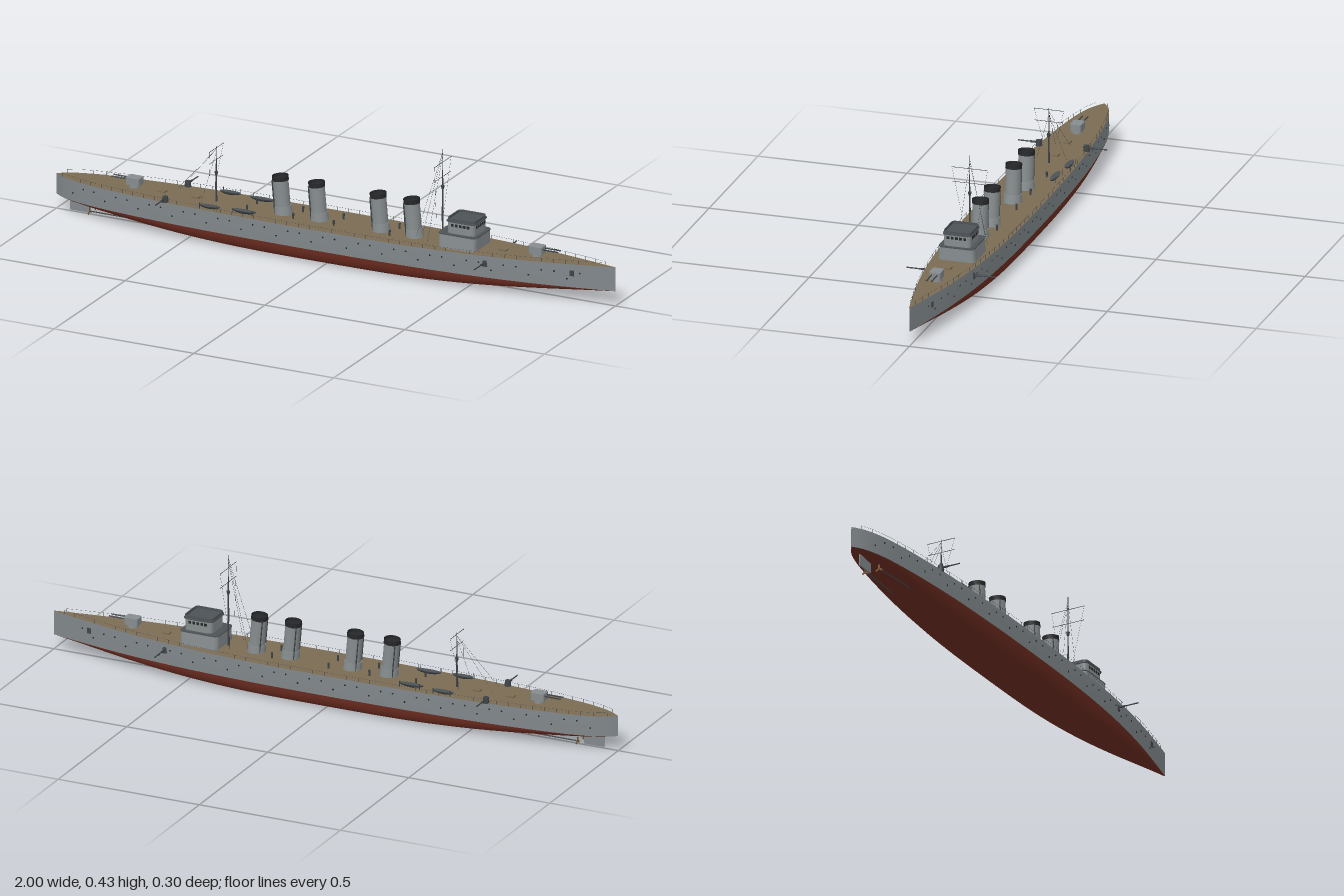
import * as THREE from 'three';
import { mergeGeometries } from 'three/addons/utils/BufferGeometryUtils.js';

const mat = (name, color, side = THREE.FrontSide) => {
  const m = new THREE.MeshStandardMaterial({ color, side });
  m.name = name;
  return m;
};
const V = (x, y, z) => new THREE.Vector3(x, y, z);

export function createModel() {
  const ship = new THREE.Group();
  ship.name = 'warship';
  const hullGray = mat('hullGray', 0x81888b);
  const red = mat('bottomRed', 0x6e2d21);
  const tan = mat('deckTan', 0x7b6c53);
  const gray = mat('superstructureGray', 0x868c8e);
  const roof = mat('roofGray', 0x4d5357);
  const black = mat('sootBlack', 0x262729, THREE.DoubleSide);
  const dark = mat('fittingsGray', 0x3f4447, THREE.DoubleSide);
  const bronze = mat('propellerBronze', 0x7a5a32);

  const add = (name, geo, material, x = 0, y = 0, z = 0, parent = ship) => {
    const m = new THREE.Mesh(geo, material);
    m.name = name;
    m.position.set(x, y, z);
    parent.add(m);
    return m;
  };
  const rod = (a, b, r) => new THREE.TubeGeometry(new THREE.LineCurve3(a, b), 1, r, 5, false);
  const merged = (name, geos, material, parent = ship) =>
    add(name, mergeGeometries(geos), material, 0, 0, 0, parent);

  // Hull lines: half-breadth, deck height and keel height along the length
  const plan = new THREE.SplineCurve([[-1, 0], [-0.97, 0.02], [-0.93, 0.037], [-0.85, 0.056], [-0.7, 0.075],
    [-0.5, 0.09], [-0.25, 0.098], [0, 0.1], [0.25, 0.097], [0.45, 0.087], [0.6, 0.073], [0.75, 0.052],
    [0.88, 0.027], [1, 0.001]].map(p => new THREE.Vector2(...p)));
  const stations = plan.getPoints(65);
  const beam = x => {
    const i = Math.max(1, stations.findIndex(p => p.x >= x));
    const a = stations[i - 1], b = stations[i];
    return a.y + (b.y - a.y) * (x - a.x) / (b.x - a.x);
  };
  const WL = 0.05;
  const deckY = x => 0.119 + 0.012 * Math.max(0, (x - 0.2) / 0.8) ** 1.5;
  const keelY = x => WL * Math.max(0, (Math.abs(x) - 0.2) / 0.8) ** 2;

  // Skin a row of cross-sections running from stern to bow
  const loft = section => {
    const rows = stations.map(p => section(p.x, p.y));
    const n = rows[0].length, idx = [];
    for (let i = 0; i < rows.length - 1; i++)
      for (let j = 0; j < n - 1; j++) {
        const a = i * n + j, b = a + n;
        idx.push(a, a + 1, b, b, a + 1, b + 1);
      }
    const g = new THREE.BufferGeometry().setFromPoints(rows.flat());
    g.setIndex(idx);
    g.computeVertexNormals();
    return g;
  };
  add('hullSideLeft', loft((x, b) => [V(x, deckY(x), b), V(x, 0.085, b), V(x, WL, b * 0.985)]), hullGray);
  add('hullSideRight', loft((x, b) => [V(x, WL, -b * 0.985), V(x, 0.085, -b), V(x, deckY(x), -b)]), hullGray);
  add('deck', loft((x, b) => [V(x, deckY(x), -b), V(x, deckY(x), 0), V(x, deckY(x), b)]), tan);
  const bilge = [[0.985, 1], [0.97, 0.75], [0.92, 0.4], [0.81, 0.15], [0.6, 0.04], [0, 0]];
  add('underwaterHull', loft((x, b) => {
    const v = Math.abs(x) ** 3, k = keelY(x);
    const half = bilge.map(([w, h]) => V(x, k + (WL - k) * (h + (w / 0.985 - h) * v * 0.8), b * w));
    return [...half, ...half.slice(0, -1).reverse().map(p => V(p.x, p.y, -p.z))];
  }), red);

  // Portholes, railings and bow anchors on both sides
  const ports = [], rails = [];
  for (const s of [1, -1]) {
    for (let i = 0; i < 44; i++) {
      const x = -0.92 + i * 0.042, y = i % 3 ? 0.1 : 0.078;
      const c = new THREE.CylinderGeometry(0.0028, 0.0028, 0.003, 8).rotateX(Math.PI / 2);
      ports.push(c.translate(x, y, s * beam(x)));
    }
    let last = null;
    for (let i = 0; i < 49; i++) {
      const x = -0.97 + i * 0.0402, z = s * Math.max(0, beam(x) - 0.002), y = deckY(x);
      rails.push(rod(V(x, y, z), V(x, y + 0.012, z), 0.0006));
      const top = V(x, y + 0.012, z);
      if (last) rails.push(rod(last, top, 0.0003));
      last = top;
    }
    add('anchor', new THREE.BoxGeometry(0.014, 0.018, 0.005), dark, 0.86, 0.098, s * beam(0.86));
  }
  merged('portholes', ports, black);
  merged('railings', rails, dark);

  // Bridge: two rounded tiers with dark decks and a parapet
  const roundRect = (w, d, r, C = THREE.Shape) => {
    const s = new C(), x = w / 2, y = d / 2;
    s.moveTo(-x + r, -y).lineTo(x - r, -y).quadraticCurveTo(x, -y, x, -y + r);
    s.lineTo(x, y - r).quadraticCurveTo(x, y, x - r, y);
    s.lineTo(-x + r, y).quadraticCurveTo(-x, y, -x, y - r);
    s.lineTo(-x, -y + r).quadraticCurveTo(-x, -y, -x + r, -y);
    return s;
  };
  const block = (w, d, h, r, wall = 0) => {
    const s = roundRect(w, d, r);
    if (wall) s.holes.push(roundRect(w - wall * 2, d - wall * 2, r - wall, THREE.Path));
    return new THREE.ExtrudeGeometry(s, { depth: h, bevelEnabled: false, curveSegments: 5 }).rotateX(-Math.PI / 2);
  };
  const bridge = new THREE.Group();
  bridge.name = 'bridge';
  bridge.position.x = 0.46;
  ship.add(bridge);
  const lower = block(0.134, 0.126, 0.048, 0.02);
  const lp = lower.attributes.position;
  for (let i = 0; i < lp.count; i++) if (lp.getY(i) > 0.02) lp.setZ(i, lp.getZ(i) * 0.93);
  lower.computeVertexNormals();
  add('lowerTier', lower, gray, 0, 0.118, 0, bridge);
  add('lowerTierDeck', block(0.138, 0.12, 0.003, 0.02), roof, 0, 0.165, 0, bridge);
  add('upperTier', block(0.098, 0.092, 0.04, 0.016), gray, 0.008, 0.167, 0, bridge);
  add('upperTierDeck', block(0.106, 0.098, 0.004, 0.018), roof, 0.008, 0.206, 0, bridge);
  add('parapet', block(0.1, 0.092, 0.009, 0.016, 0.003), roof, 0.008, 0.209, 0, bridge);
  for (let i = -2; i <= 2; i++) {
    add('frontWindow', new THREE.BoxGeometry(0.002, 0.009, 0.009), black, 0.057, 0.196, i * 0.014, bridge);
    for (const s of [1, -1])
      add('sideWindow', new THREE.BoxGeometry(0.009, 0.009, 0.002), black, 0.008 + i * 0.014, 0.196, s * 0.046, bridge);
  }

  // Four raked funnels with black tops
  for (const x of [-0.2, -0.07, 0.15, 0.27]) {
    const f = new THREE.Group();
    f.name = 'funnel';
    f.position.set(x + 0.012, 0.116, 0);
    f.rotation.z = 0.09;
    ship.add(f);
    add('funnelBase', new THREE.CylinderGeometry(0.028, 0.031, 0.03, 20), gray, 0, 0.014, 0, f);
    add('funnelPipe', new THREE.CylinderGeometry(0.0255, 0.0255, 0.1, 20, 1, true), gray, 0, 0.068, 0, f);
    add('funnelTop', new THREE.CylinderGeometry(0.027, 0.027, 0.015, 20, 1, true), black, 0, 0.122, 0, f);
    add('funnelMouth', new THREE.CircleGeometry(0.026, 20).rotateX(-Math.PI / 2), black, 0, 0.12, 0, f);
    for (const s of [1, -1])
      add('steamPipe', new THREE.CylinderGeometry(0.002, 0.002, 0.115, 6), dark, -0.02, 0.06, s * 0.02, f);
  }

  // Masts with yards, lookout and rigging
  const mast = (name, x, top, yards, stayX) => {
    const g = [new THREE.CylinderGeometry(0.001, 0.0035, top - 0.118, 8).translate(x, (top + 0.118) / 2, 0)];
    for (const [y, half] of yards) g.push(rod(V(x, y, -half), V(x, y, half), 0.0009));
    merged(name, g, dark);
    const lines = [];
    for (const s of [1, -1]) {
      const [y, half] = yards[0];
      lines.push(rod(V(x, top - 0.02, 0), V(x - 0.03, 0.122, s * 0.05), 0.0004));
      lines.push(rod(V(x, y, s * half), V(x - 0.01, 0.2, s * 0.025), 0.0003));
      lines.push(rod(V(x, top - 0.01, 0), V(stayX, 0.13, s * 0.025), 0.0004));
    }
    merged(name + 'Rigging', lines, dark);
    add(name + 'Lookout', new THREE.CylinderGeometry(0.006, 0.004, 0.012, 10), dark, x, top * 0.7, 0);
  };
  mast('foreMast', 0.382, 0.43, [[0.386, 0.06], [0.337, 0.058]], 0.3);
  mast('mainMast', -0.428, 0.305, [[0.3, 0.05], [0.26, 0.048]], -0.57);

  // Twin deck turrets, one at each end
  for (const s of [1, -1]) {
    const t = new THREE.Group();
    t.name = s > 0 ? 'foreTurret' : 'aftTurret';
    t.position.set(0.72 * s, deckY(0.72 * s), 0);
    if (s < 0) t.rotation.y = Math.PI;
    ship.add(t);
    add('turretBase', new THREE.CylinderGeometry(0.017, 0.018, 0.012, 16), gray, 0, 0.005, 0, t);
    add('turretHouse', block(0.048, 0.038, 0.024, 0.008), gray, 0, 0.01, 0, t);
    for (const z of [0.009, -0.009])
      add('turretBarrel', rod(V(0.02, 0.026, z), V(0.08, 0.026, z), 0.0024), dark, 0, 0, 0, t);
  }

  // Broadside guns: on deck aft, in the hull side forward
  for (const s of [1, -1])
    for (const [x, y] of [[-0.57, 0.13], [0.57, 0.1]]) {
      const z = beam(x) - 0.006;
      add('gunMount', new THREE.CylinderGeometry(0.009, 0.011, 0.02, 12), dark, x, y - 0.002, s * z);
      add('gunBarrel', rod(V(x, y, s * (z - 0.012)), V(x, y, s * 0.15), 0.0022), dark);
      add('gunSleeve', rod(V(x, y, s * z), V(x, y, s * (z + 0.03)), 0.0036), dark);
    }

  // Ship's boats on low cradles, with davits
  for (const s of [1, -1])
    for (const [x, z, len] of [[-0.415, 0.073, 0.075], [-0.297, 0.064, 0.088]]) {
      const hull = new THREE.SphereGeometry(1, 14, 5, 0, Math.PI * 2, Math.PI / 2, Math.PI / 2);
      add('boat', hull.scale(len / 2, 0.011, 0.011), dark, x, 0.13, s * z);
      add('boatCover', new THREE.CircleGeometry(1, 14).rotateX(-Math.PI / 2).scale(len / 2, 1, 0.011), roof, x, 0.13, s * z);
      for (const e of [-1, 1])
        add('davit', rod(V(x + e * len * 0.4, 0.118, s * (z + 0.012)), V(x + e * len * 0.4, 0.138, s * (z + 0.012)), 0.0012), dark);
    }

  // Deck ventilators and hatches
  for (const x of [-0.3, -0.135, 0.01, 0.21])
    for (const s of [1, -1])
      add('ventilator', new THREE.CylinderGeometry(0.004, 0.003, 0.02, 8), dark, x, 0.128, s * 0.035);
  for (const x of [-0.62, -0.5, 0.6])
    add('hatch', new THREE.BoxGeometry(0.025, 0.006, 0.02), tan, x, deckY(x) + 0.002, 0);

  // Rudder, shafts and propellers
  add('rudder', new THREE.BoxGeometry(0.07, 0.045, 0.005), hullGray, -0.915, 0.027, 0);
  for (const s of [1, -1]) {
    add('propellerShaft', rod(V(-0.87, 0.02, s * 0.025), V(-0.66, 0.024, s * 0.035), 0.002), dark);
    for (let i = 0; i < 3; i++) {
      const blade = new THREE.BoxGeometry(0.002, 0.013, 0.006).translate(0, 0.007, 0);
      add('propellerBlade', blade.rotateX(i * Math.PI * 2 / 3), bronze, -0.868, 0.02, s * 0.025);
    }
  }
  return ship;
}
